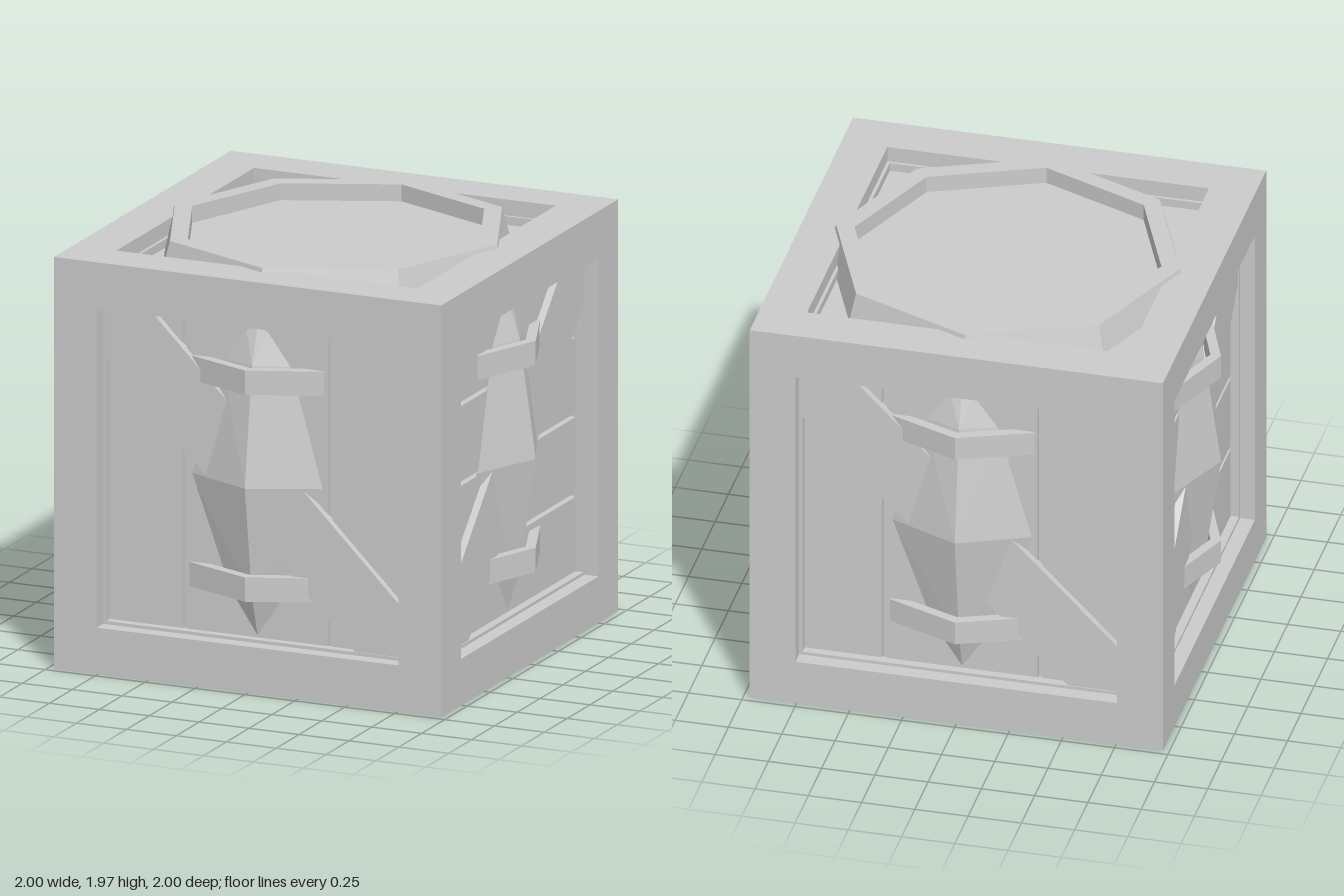
import * as THREE from 'three';
import { ConvexGeometry } from 'three/addons/geometries/ConvexGeometry.js';

const mat = new THREE.MeshStandardMaterial({ color: 0xcccccc, flatShading: true });
const OUT = 0.97;    // half width of the crate
const MID = 0.975;   // half height of the crate
const OPEN = 0.755;  // half width of each opening
const PANEL = 0.86;  // distance of the plank faces from the centre

function add(parent, name, geometry, x = 0, y = 0, z = 0) {
  const mesh = new THREE.Mesh(geometry, mat);
  mesh.name = name;
  mesh.position.set(x, y, z);
  parent.add(mesh);
  return mesh;
}

const polygon = (pts) => new THREE.Shape(pts.map(([x, y]) => new THREE.Vector2(x, y)));
const square = (h) => [[-h, -h], [h, -h], [h, h], [-h, h]];
const extrude = (shape, depth) => new THREE.ExtrudeGeometry(shape, { depth, bevelEnabled: false });

// Corner posts and the rails between them
function addFrame(parent) {
  const w = OUT - OPEN, c = (OUT + OPEN) / 2, cy = (MID + OPEN) / 2;
  for (const a of [-1, 1]) for (const b of [-1, 1]) {
    add(parent, 'cornerPost', new THREE.BoxGeometry(w, MID * 2, w), a * c, 0, b * c);
    add(parent, 'railAcross', new THREE.BoxGeometry(OPEN * 2, MID - OPEN, w), 0, a * cy, b * c);
    add(parent, 'railDeep', new THREE.BoxGeometry(w, MID - OPEN, OPEN * 2), a * c, b * cy, 0);
  }
}

// Row of planks with narrow gaps, plus the thin trim around the opening
function addPanel(face, count, horizontal) {
  const pitch = horizontal ? OPEN * 2 / count : 0.73;
  const gap = 0.022;
  for (let i = 0; i < count; i++) {
    const lo = Math.max(-OPEN, (i - count / 2) * pitch + gap / 2);
    const hi = Math.min(OPEN, (i + 1 - count / 2) * pitch - gap / 2);
    const size = hi - lo, mid = (hi + lo) / 2;
    const geo = horizontal
      ? new THREE.BoxGeometry(OPEN * 2, size, 0.04)
      : new THREE.BoxGeometry(size, OPEN * 2, 0.04);
    add(face, 'plank', geo, horizontal ? 0 : mid, horizontal ? mid : 0, PANEL - 0.02);
  }
  const trim = polygon(square(OPEN));
  trim.holes.push(new THREE.Path(square(0.74).reverse().map(([x, y]) => new THREE.Vector2(x, y))));
  add(face, 'openingTrim', extrude(trim, 0.05), 0, 0, PANEL - 0.01);
}

// Diagonal board cut to the opening; dir -1 falls to the right, +1 rises
function addBrace(face, dir) {
  const h = 0.752, k = h - 0.235;
  const pts = [[-h, -h], [-k, -h], [h, k], [h, h], [k, h], [-h, -k]];
  const shape = polygon(pts.map(([x, y]) => [x * dir, y]));
  add(face, 'diagonalBrace', extrude(shape, 0.045), 0, 0, PANEL - 0.01 + 0.0452);
  face.children.at(-1).position.z = 0.895 - 0.045;
}

// Faceted crystal with a ridge down the middle
function addCrystal(face) {
  const back = 0.855;
  const pts = [[0, 0, 1], [0, 0.56, 0.92], [0, 0.75, back], [0, -0.53, 0.922], [0, -0.745, back]];
  for (const s of [-1, 1]) {
    pts.push([s * 0.338, 0, back], [s * 0.18, 0.56, back], [s * 0.06, 0.72, back], [s * 0.145, -0.53, back]);
  }
  add(face, 'crystal', new ConvexGeometry(pts.map((p) => new THREE.Vector3(...p))));
}

// Bent straps holding the crystal
function addStraps(face) {
  const shape = polygon([[0, 1], [-0.338, 0.868], [-0.338, 0.82], [0, 0.95], [0.338, 0.82], [0.338, 0.868]]);
  for (const top of [0.56, -0.42]) {
    add(face, 'crystalStrap', extrude(shape, 0.115).rotateX(Math.PI / 2), 0, top, 0);
  }
}

// Eight-sided dish with a raised rim and flared sides
function addDish(face, top) {
  const floor = top - 0.08;
  const profile = [[0.85, PANEL - 0.02], [0.807, top], [0.72, top], [0.72, floor], [0, floor]]
    .map(([r, y]) => new THREE.Vector2(r, y));
  const geo = new THREE.LatheGeometry(profile, 8).toNonIndexed();
  geo.computeVertexNormals();
  add(face, 'octagonDish', geo.rotateX(Math.PI / 2));
}

export function createModel() {
  const crate = new THREE.Group();
  crate.name = 'crate';
  const body = new THREE.Group();
  body.name = 'crateBody';
  body.position.y = MID;
  crate.add(body);

  addFrame(body);
  add(body, 'innerCore', new THREE.BoxGeometry(1.66, 1.66, 1.66));

  // Four upright sides, alternating plank direction and brace slope
  ['frontSide', 'leftSide', 'backSide', 'rightSide'].forEach((name, i) => {
    const face = new THREE.Group();
    face.name = name;
    face.rotation.y = i * Math.PI / 2;
    body.add(face);
    const flank = i % 2 === 1;
    addPanel(face, flank ? 4 : 3, flank);
    addBrace(face, flank ? 1 : -1);
    addCrystal(face);
    addStraps(face);
  });

  // Lid and base
  for (const [name, turn, height] of [['lid', -1, 0.995], ['base', 1, 0.972]]) {
    const face = new THREE.Group();
    face.name = name;
    face.rotation.x = turn * Math.PI / 2;
    body.add(face);
    addPanel(face, 3, false);
    addDish(face, height);
  }
  return crate;
}
